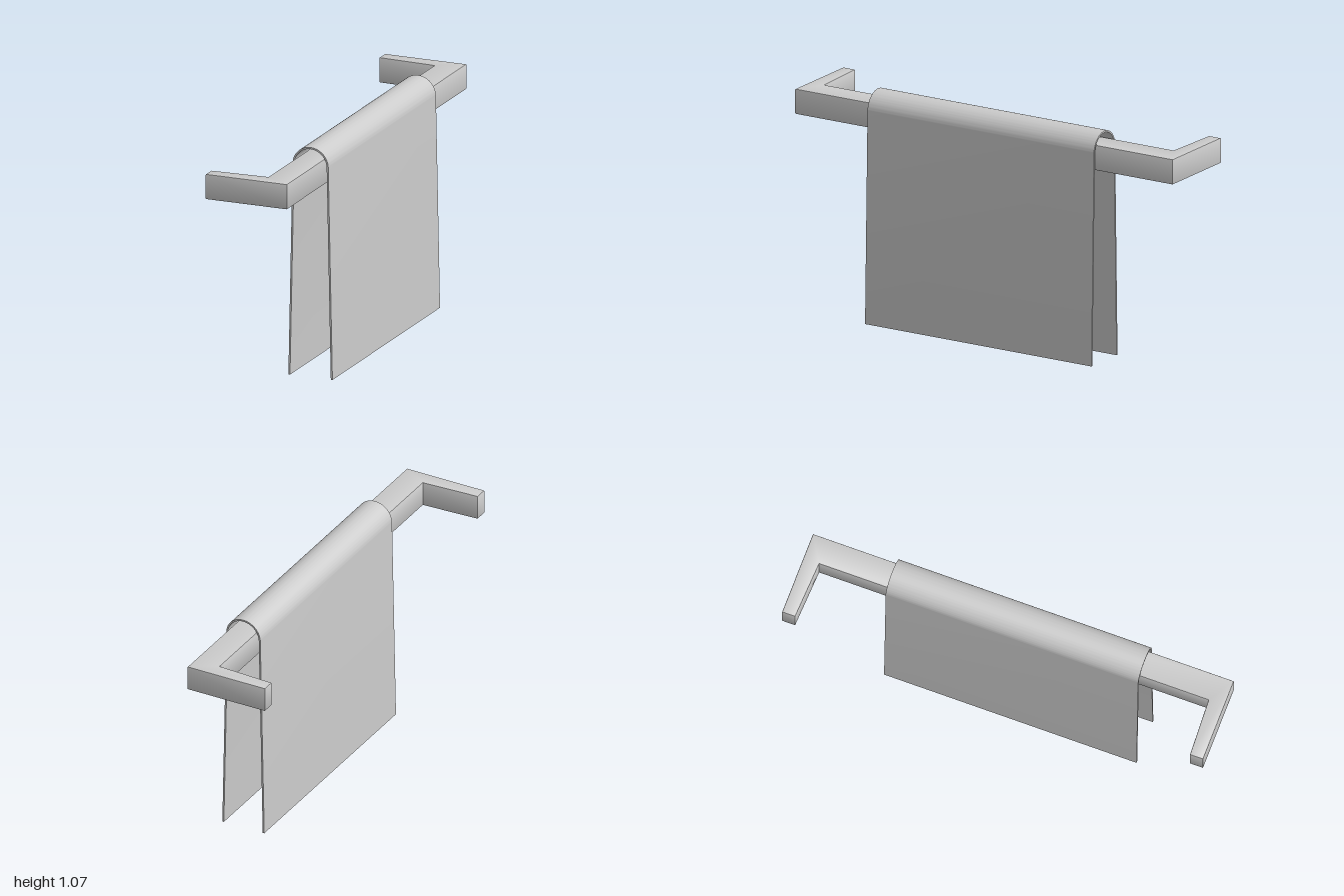
import * as THREE from 'three';
import { toCreasedNormals } from 'three/addons/utils/BufferGeometryUtils.js';

const material = new THREE.MeshStandardMaterial({ color: 0xcccccc });

function addPart(group, name, geometry) {
  const mesh = new THREE.Mesh(toCreasedNormals(geometry, 0.5), material);
  mesh.name = name;
  group.add(mesh);
}

// Wall rail: a bar with two slightly tapered arms, extruded upwards
function railGeometry() {
  const b = 0.004, bottom = 0.9, top = 1.017;
  const plan = [
    [0.173, -1], [0.173, 1], [-0.222, 1], [-0.222, 0.938],
    [0.05, 0.925], [0.05, -0.925], [-0.222, -0.938], [-0.222, -1],
  ];
  const shape = new THREE.Shape(plan.map(([x, z]) => new THREE.Vector2(x, z)));
  const geometry = new THREE.ExtrudeGeometry(shape, {
    depth: top - bottom - 2 * b,
    bevelEnabled: true, bevelThickness: b, bevelSize: b, bevelOffset: -b, bevelSegments: 2,
  });
  return geometry.rotateX(-Math.PI / 2).translate(0, bottom + b, 0);
}

// Towel: a thin sheet folded over the bar, its two sides flaring slightly
function towelGeometry() {
  const cx = 0.1125, cy = 0.983, radius = 0.087, flare = 0.02, thick = 0.008, width = 1.2;
  const inner = radius - thick;
  const shape = new THREE.Shape();
  shape.moveTo(cx + radius + flare, 0);
  shape.lineTo(cx + radius, cy);
  shape.absarc(cx, cy, radius, 0, Math.PI, false);
  shape.lineTo(cx - radius - flare, 0);
  shape.lineTo(cx - inner - flare, 0);
  shape.lineTo(cx - inner, cy);
  shape.absarc(cx, cy, inner, Math.PI, 0, true);
  shape.lineTo(cx + inner + flare, 0);
  shape.closePath();
  return new THREE.ExtrudeGeometry(shape, { depth: width, bevelEnabled: false, curveSegments: 24 })
    .translate(0, 0, -width / 2);
}

export function createModel() {
  const group = new THREE.Group();
  group.name = 'towelRail';
  addPart(group, 'rail', railGeometry());
  addPart(group, 'towel', towelGeometry());
  return group;
}
